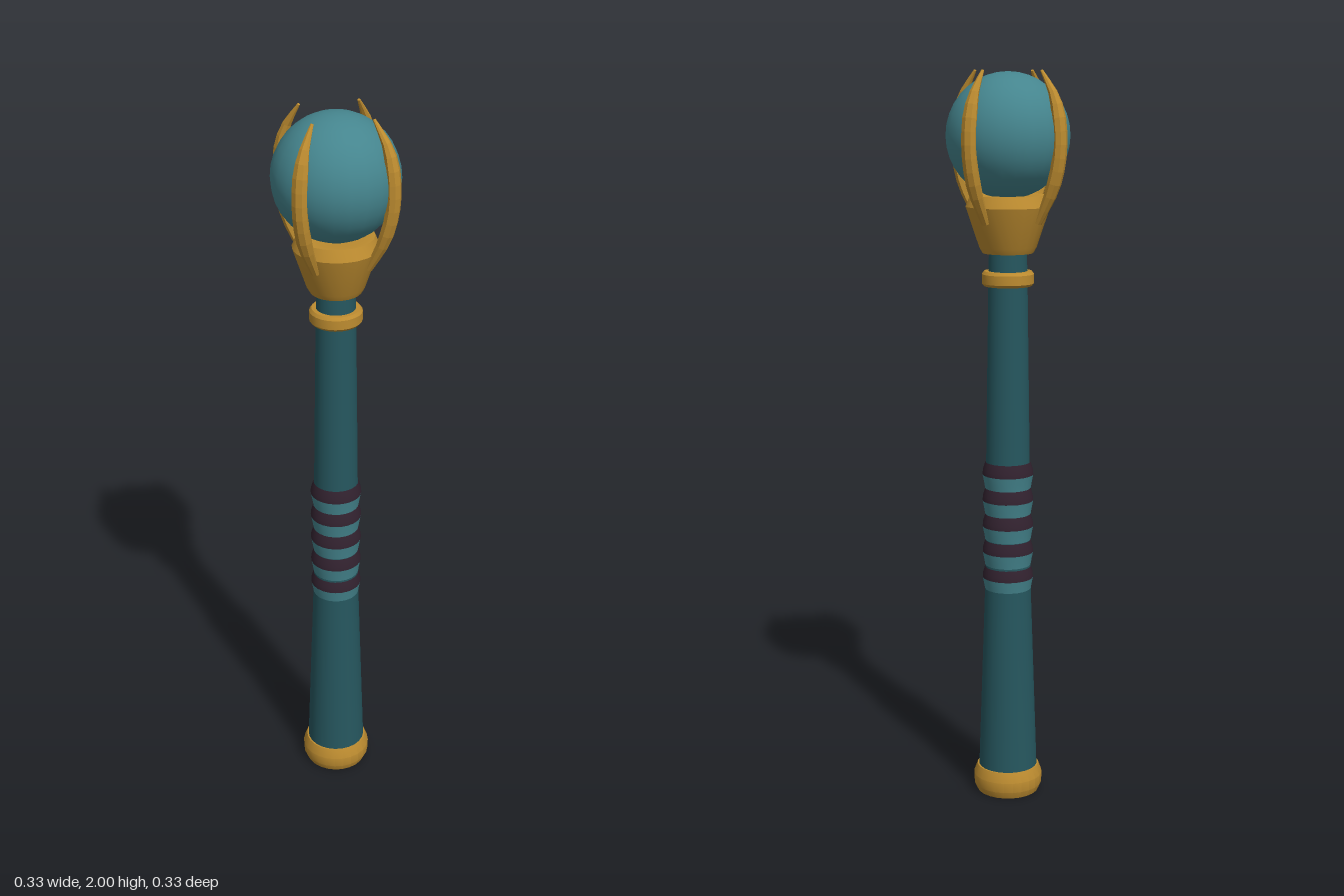
import * as THREE from 'three';
import { toCreasedNormals } from 'three/addons/utils/BufferGeometryUtils.js';

const material = (name, color) => new THREE.MeshStandardMaterial({ name, color });

// Turned part from [radius, height] pairs, listed bottom to top
function turned(name, mat, profile) {
  const points = profile.map(([r, y]) => new THREE.Vector2(r, y));
  const mesh = new THREE.Mesh(toCreasedNormals(new THREE.LatheGeometry(points, 24), 0.4), mat);
  mesh.name = name;
  return mesh;
}

// Curved, tapering prong swept in the x-y plane with an octagonal section
function clawGeometry() {
  const path = new THREE.CatmullRomCurve3([
    [0.098, 1.605], [0.142, 1.69], [0.164, 1.77], [0.166, 1.85], [0.149, 1.93], [0.108, 1.997],
  ].map(([x, y]) => new THREE.Vector3(x, y, 0)));
  const steps = 12, sides = 8;
  const positions = [], index = [];
  for (let i = 0; i <= steps; i++) {
    const t = i / steps;
    const p = path.getPoint(t), tan = path.getTangent(t);
    const size = Math.min(1, 0.55 + t * 2, 0.2 + (1 - t) * 2.6);
    for (let j = 0; j < sides; j++) {
      const a = (j / sides) * Math.PI * 2;
      const out = Math.cos(a) * 0.018 * size;
      positions.push(p.x + tan.y * out, p.y - tan.x * out, Math.sin(a) * 0.021 * size);
    }
  }
  for (let i = 0; i < steps; i++) {
    for (let j = 0; j < sides; j++) {
      const a = i * sides + j, b = i * sides + (j + 1) % sides;
      index.push(a, a + sides, b, b, a + sides, b + sides);
    }
  }
  // End caps
  const last = steps * sides;
  for (let j = 1; j < sides - 1; j++) {
    index.push(0, j, j + 1, last, last + j + 1, last + j);
  }
  const geometry = new THREE.BufferGeometry();
  geometry.setAttribute('position', new THREE.Float32BufferAttribute(positions, 3));
  geometry.setIndex(index);
  const flat = geometry.toNonIndexed();
  flat.computeVertexNormals();
  return flat;
}

export function createModel() {
  const model = new THREE.Group();
  model.name = 'scepter';
  const gold = material('gold', 0xbd8c30);
  const darkTeal = material('dark teal', 0x26575f);
  const teal = material('teal', 0x45858e);
  const plum = material('dark plum', 0x32222f);

  // Shaft and its gold fittings
  model.add(turned('shaft', darkTeal, [[0.082, 0.06], [0.064, 0.59], [0.06, 0.95], [0.053, 1.44], [0.051, 1.53]]));
  model.add(turned('pommel', gold, [
    [0, 0], [0.086, 0], [0.095, 0.02], [0.096, 0.048], [0.086, 0.075], [0, 0.075],
  ]));
  model.add(turned('collar', gold, [
    [0.05, 1.434], [0.064, 1.434], [0.07, 1.441], [0.07, 1.466], [0.064, 1.474], [0.05, 1.474],
  ]));

  // Grip: each dark slope faces up, each teal slope faces down
  const grip = new THREE.Group();
  grip.name = 'grip';
  for (let i = 0; i < 5; i++) {
    const y = 0.587 + i * 0.073;
    grip.add(turned('gripWrap', teal, [[0.063, y], [0.066, y + 0.018], [0.07, y + 0.038]]));
    grip.add(turned('gripBand', plum, [[0.07, y + 0.038], [0.069, y + 0.05], [0.062, y + 0.073]]));
  }
  model.add(grip);

  // Cup under the orb
  model.add(turned('cup', gold, [
    [0, 1.522], [0.068, 1.522], [0.077, 1.538], [0.113, 1.645], [0.1, 1.675], [0.075, 1.675], [0, 1.66],
  ]));

  const orb = new THREE.Mesh(new THREE.SphereGeometry(0.165, 24, 18), teal);
  orb.name = 'orb';
  orb.position.y = 1.83;
  model.add(orb);

  // Four claws on the diagonals
  const claw = clawGeometry();
  for (let i = 0; i < 4; i++) {
    const mesh = new THREE.Mesh(claw, gold);
    mesh.name = 'claw';
    mesh.rotation.y = Math.PI / 4 + i * Math.PI / 2;
    model.add(mesh);
  }
  return model;
}
